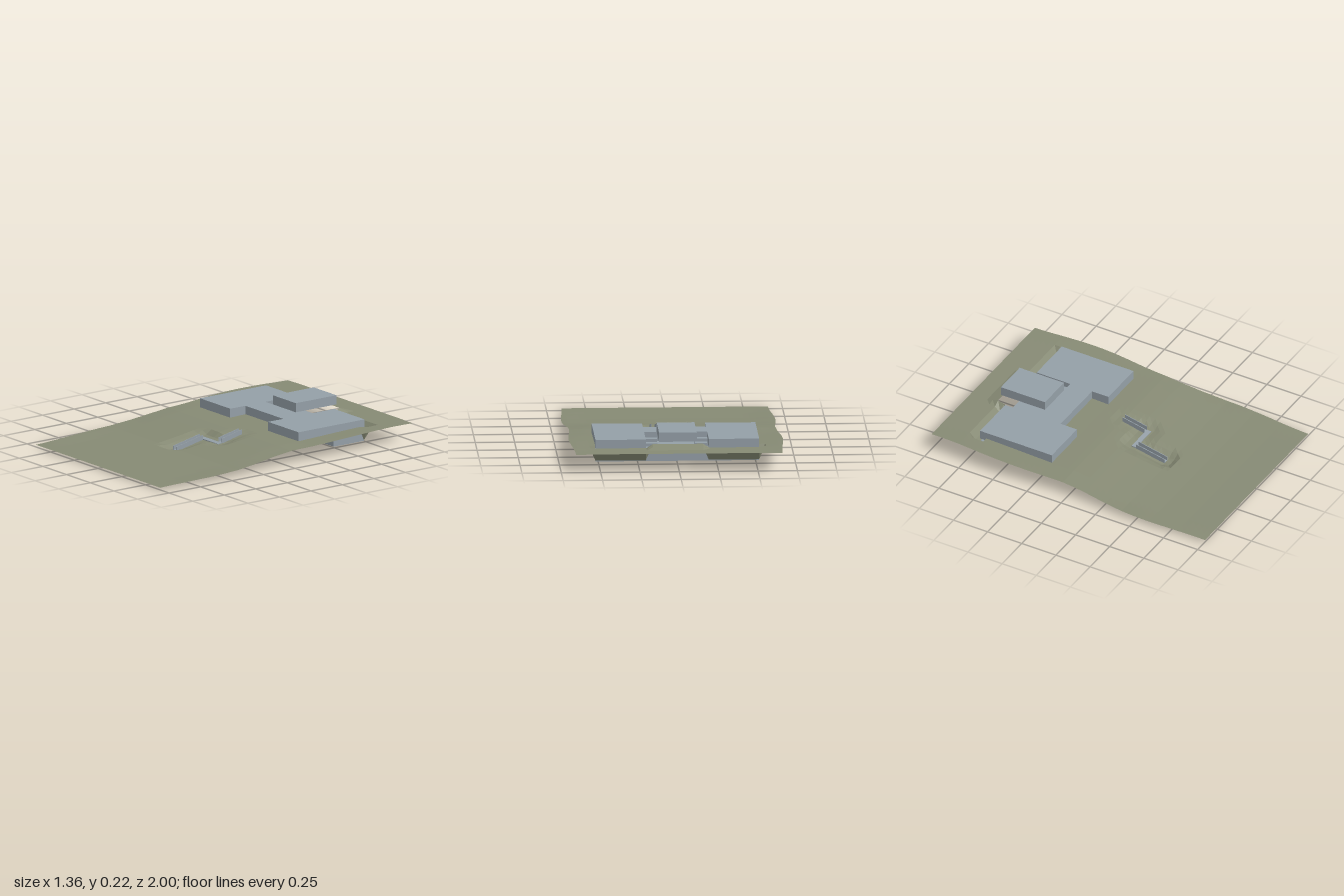
import * as THREE from 'three';

const grass = new THREE.MeshStandardMaterial({ color: 0x868a74, side: THREE.DoubleSide });
grass.name = 'olive ground';
const concrete = new THREE.MeshStandardMaterial({ color: 0x949fa7 });
concrete.name = 'blue grey concrete';

const { lerp, clamp, smoothstep } = THREE.MathUtils;

// Ground height along the slope, as [z, y] points
const slope = [[-1, 0.117], [-0.8, 0.115], [-0.5, 0.106], [-0.2, 0.096], [-0.05, 0.094],
  [0.1, 0.078], [0.25, 0.055], [0.4, 0.036], [0.6, 0.022], [0.8, 0.016], [1, 0.015]];
function slopeHeight(z) {
  let i = 0;
  while (i < slope.length - 2 && z > slope[i + 1][0]) i++;
  const [z0, y0] = slope[i], [z1, y1] = slope[i + 1];
  return lerp(y0, y1, clamp((z - z0) / (z1 - z0), 0, 1));
}

// Walkway runs: x range, z range, floor height at the back and front
const runs = [
  { name: 'upperRamp', x: [0.1, 0.137], z: [-0.04, 0.12], y: [0.09, 0.056], rails: true },
  { name: 'landing', x: [-0.06, 0.137], z: [0.12, 0.15], y: [0.056, 0.052], rails: false },
  { name: 'lowerRamp', x: [-0.06, -0.023], z: [0.15, 0.36], y: [0.05, 0.006], rails: true },
];

function groundHeight(x, z) {
  let y = slopeHeight(z);
  // gentle rise and fall towards the long sides
  y += 0.006 * smoothstep(Math.abs(x), 0.5, 0.68) * Math.cos(z * 5 + 3);
  // cutting around the walkway
  for (const r of runs) {
    const dx = Math.max(r.x[0] - x, x - r.x[1], 0);
    const dz = Math.max(r.z[0] - z, z - r.z[1], 0);
    const floor = lerp(r.y[0], r.y[1], clamp((z - r.z[0]) / (r.z[1] - r.z[0]), 0, 1)) - 0.004;
    y = lerp(Math.min(y, floor), y, smoothstep(Math.hypot(dx, dz), 0.025, 0.085));
  }
  // pits behind the wings, bank behind the upper room
  const ax = Math.abs(x);
  if (z < -0.7 && z > -0.79 && ax > 0.19 && ax < 0.54) y = z > -0.74 ? 0.02 : 0.075;
  if (ax < 0.19 && z < -0.7 && z > -0.87) y += 0.025 * (1 - Math.abs(z + 0.8) / 0.08);
  return Math.max(y, 0.005);
}

function makeGround() {
  const nx = 34, nz = 50, cell = 0.04, pos = [], index = [];
  for (let j = 0; j <= nz; j++) {
    for (let i = 0; i <= nx; i++) {
      const z = -1 + j * cell;
      let x = -0.68 + i * cell;
      if (i === 0 || i === nx) x = Math.sign(x) * (0.668 - 0.012 * Math.cos(z * 6.28));
      pos.push(x, groundHeight(x, z), z);
    }
  }
  for (let j = 0; j < nz; j++) {
    for (let i = 0; i < nx; i++) {
      const x = -0.66 + i * cell, z = -0.98 + j * cell;
      // openings over the lower floor and behind its middle
      if (Math.abs(x) < 0.52 && z > -0.72 && z < -0.48) continue;
      if (x > -0.52 && x < 0.2 && z > -0.48 && z < -0.32) continue;
      if (Math.abs(x) < 0.16 && z > -0.8 && z < -0.72) continue;
      const a = j * (nx + 1) + i, b = a + nx + 1;
      index.push(a, b, a + 1, a + 1, b, b + 1);
    }
  }
  let g = new THREE.BufferGeometry();
  g.setAttribute('position', new THREE.Float32BufferAttribute(pos, 3));
  g.setIndex(index);
  g = g.toNonIndexed();
  g.computeVertexNormals();
  const mesh = new THREE.Mesh(g, grass);
  mesh.name = 'ground';
  return mesh;
}

// Box from its ranges
function block(name, [x0, x1], [y0, y1], [z0, z1]) {
  const mesh = new THREE.Mesh(new THREE.BoxGeometry(x1 - x0, y1 - y0, z1 - z0), concrete);
  mesh.position.set((x0 + x1) / 2, (y0 + y1) / 2, (z0 + z1) / 2);
  mesh.name = name;
  return mesh;
}

// Box sheared along z so that it follows a ramp
function rampBlock(name, x, z, y, low, high) {
  const mesh = block(name, x, [low, high], z);
  const p = mesh.geometry.attributes.position;
  for (let i = 0; i < p.count; i++) p.setY(i, p.getY(i) + (p.getZ(i) < 0 ? y[0] : y[1]));
  mesh.geometry.computeVertexNormals();
  return mesh;
}

function makeBuilding() {
  const g = new THREE.Group();
  g.name = 'building';
  const main = [0.095, 0.155], low = [0.015, 0.08];
  // main floor: two wings joined by a bridge
  g.add(block('leftWing', [0.2, 0.52], main, [-0.725, -0.2]));
  g.add(block('rightWing', [-0.52, -0.2], main, [-0.725, -0.2]));
  g.add(block('bridge', [-0.2, 0.2], main, [-0.48, -0.32]));
  g.add(block('upperRoom', [-0.12, 0.12], [0.155, 0.215], [-0.803, -0.48]));
  // lower floor, an L in plan
  g.add(block('lowerFloorBack', [-0.52, 0.52], low, [-0.72, -0.48]));
  g.add(block('lowerFloorFront', [-0.52, 0.2], low, [-0.48, -0.32]));
  // steps on both sides of the upper room
  for (const s of [[0.12, 0.2], [-0.2, -0.12]]) {
    g.add(block('upperStep', s, [0.08, 0.12], [-0.53, -0.48]));
    g.add(block('lowerStep', s, [0.08, 0.1], [-0.58, -0.53]));
  }
  return g;
}

function makeWalkway() {
  const g = new THREE.Group();
  g.name = 'walkway';
  const t = 0.004;
  for (const r of runs) {
    g.add(rampBlock(r.name, r.x, r.z, r.y, -0.006, 0));
    if (!r.rails) continue;
    for (const x of [r.x[0], r.x[1] - t]) {
      g.add(rampBlock(r.name + 'Rail', [x, x + t], r.z, r.y, -0.006, 0.027));
    }
  }
  return g;
}

export function createModel() {
  const model = new THREE.Group();
  model.name = 'hillsideHouse';
  model.add(makeGround(), makeBuilding(), makeWalkway());
  return model;
}
